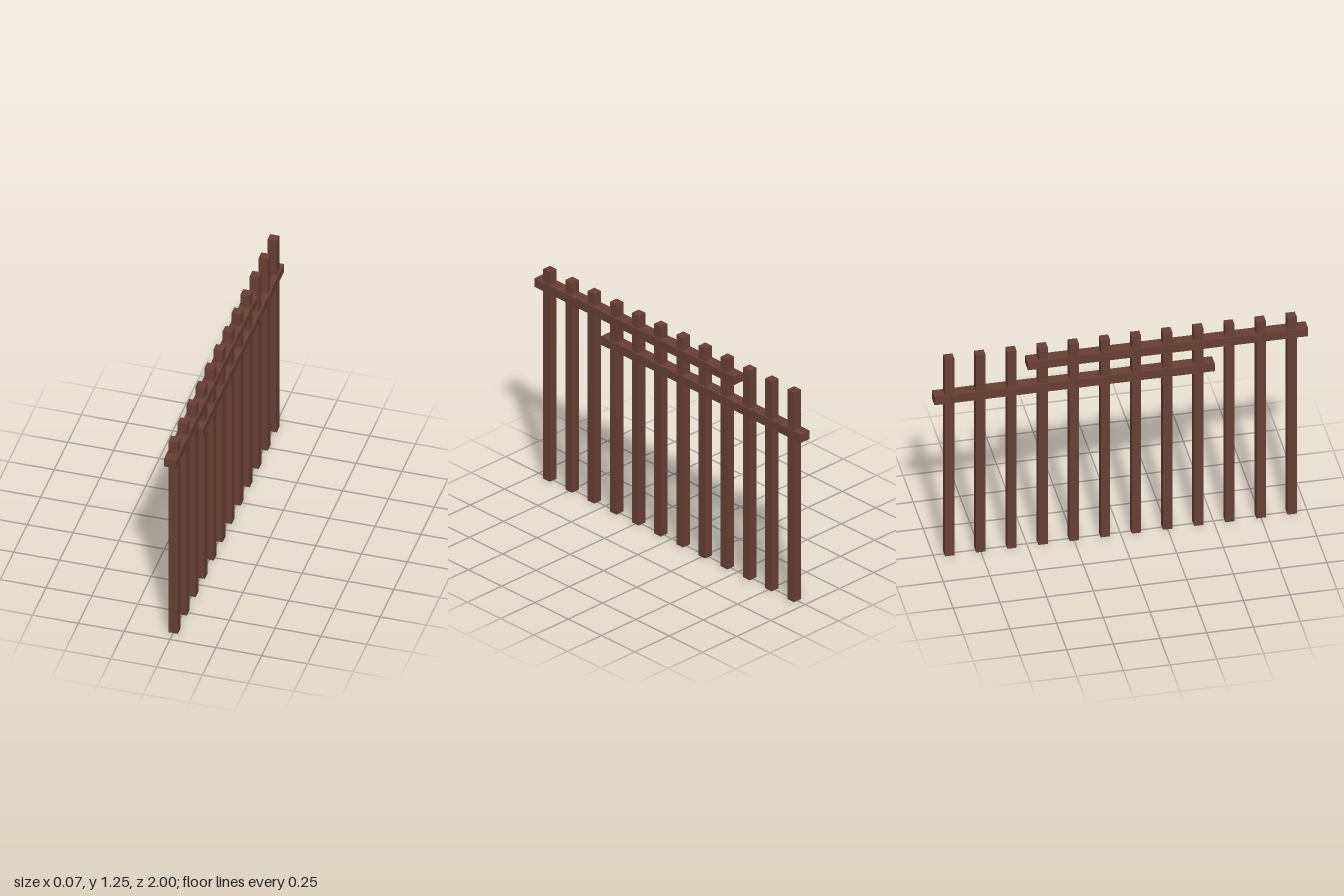
import * as THREE from 'three';

export function createModel() {
  const group = new THREE.Group();
  const wood = new THREE.MeshStandardMaterial({ color: 0x663f32 });
  wood.name = 'brown wood';

  const addBeam = (name, size, y, z) => {
    const mesh = new THREE.Mesh(new THREE.BoxGeometry(...size), wood);
    mesh.name = name;
    mesh.position.set(0, y, z);
    group.add(mesh);
  };

  // Row of evenly spaced upright posts
  const count = 12, height = 1.25, spacing = 2 / count;
  for (let i = 0; i < count; i++) {
    addBeam(`post${i + 1}`, [0.05, height, 0.05], height / 2, (i - (count - 1) / 2) * spacing);
  }

  // Two staggered rails, slightly wider than the posts
  addBeam('upperRail', [0.067, 0.05, 1.5], 1.15, 0.25);
  addBeam('lowerRail', [0.067, 0.05, 1.5], 1.0, -0.25);

  return group;
}
